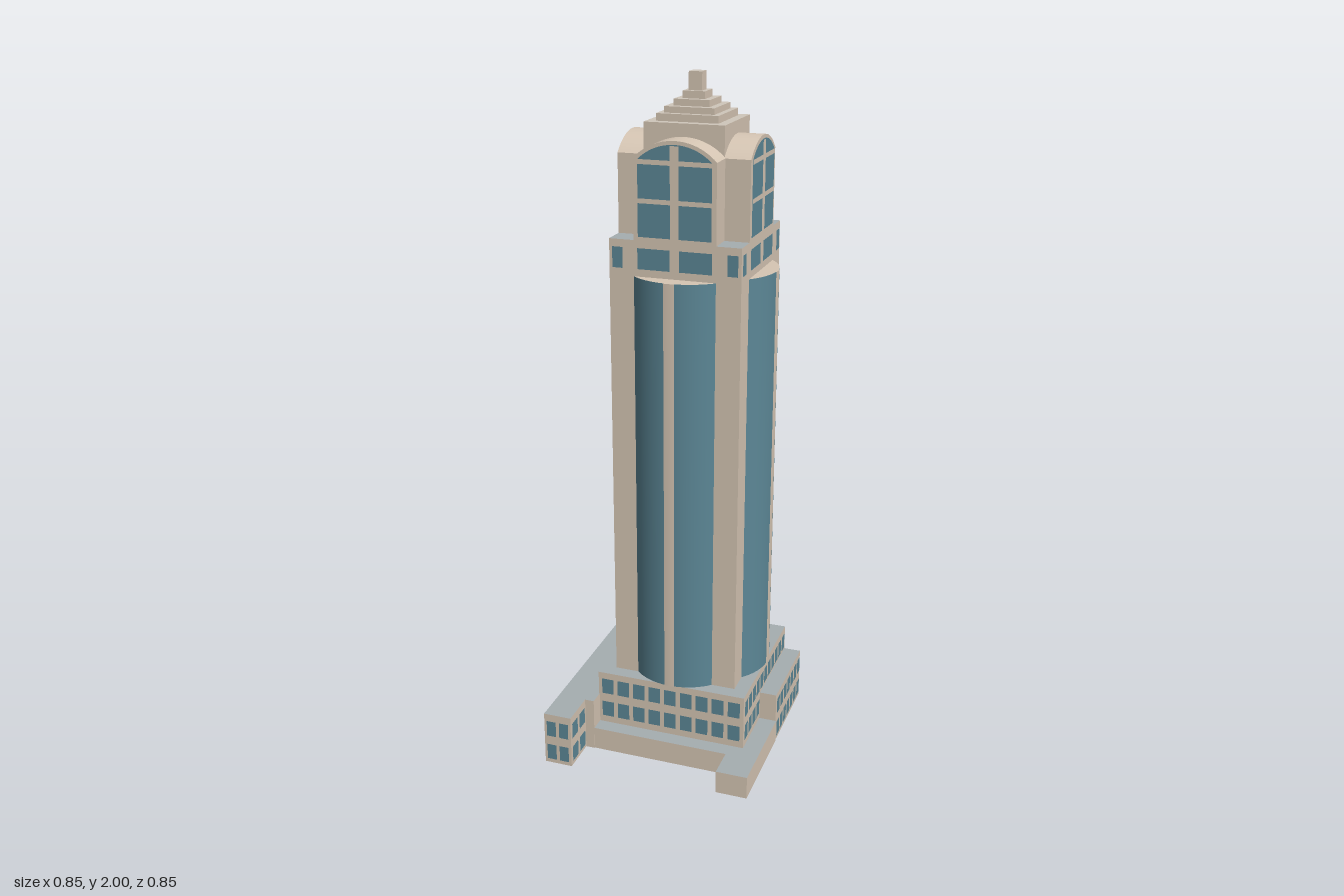
import * as THREE from 'three';
import { mergeGeometries } from 'three/addons/utils/BufferGeometryUtils.js';

const mat = (color, side = THREE.FrontSide) => new THREE.MeshStandardMaterial({ color, side });
const stone = mat(0xd6c6b4);
const glass = mat(0x5c8796);
const roof = mat(0xa6aeb1);
const cap = mat(0xd0c7bb);
const dark = mat(0x565c5e);

const HALF = 0.188; // half width of the shaft
const CORE = 0.114; // half width of the crown core
const BAY = 0.117; // half width of bays and vaults

function add(parent, name, geometry, material) {
  const mesh = new THREE.Mesh(geometry, material);
  mesh.name = name;
  parent.add(mesh);
  return mesh;
}

// Box given by its limits, with its own roof and underside colours
function block(parent, name, x0, x1, y0, y1, z0, z1, top = roof, bottom = stone) {
  const g = new THREE.BoxGeometry(x1 - x0, y1 - y0, z1 - z0);
  g.translate((x0 + x1) / 2, (y0 + y1) / 2, (z0 + z1) / 2);
  return add(parent, name, g, [stone, stone, top, bottom, stone, stone]);
}

// Panes [x, y, w, h] on a wall turned by angle about y, at a distance from the axis
function panes(parent, name, angle, dist, list, material = glass, lift = 0.0015) {
  const parts = list.map(([x, y, w, h]) => new THREE.PlaneGeometry(w, h).translate(x, y, dist + lift));
  return add(parent, name, mergeGeometries(parts).rotateY(angle), material);
}

// Regular rows and columns of panes between x0 and x1
function windowGrid(parent, name, angle, dist, x0, x1, cols, rows) {
  const list = [];
  const step = (x1 - x0) / cols;
  for (const y of rows)
    for (let i = 0; i < cols; i++) list.push([x0 + step * (i + 0.5), y, step * 0.74, 0.05]);
  panes(parent, name, angle, dist, list);
}

// Upright outline with a segmental arch on top
function archShape(w, bottom, spring, crown) {
  const rise = crown - spring;
  const r = (w * w + rise * rise) / (2 * rise);
  const a = Math.asin(w / r);
  const s = new THREE.Shape();
  s.moveTo(-w, bottom);
  s.lineTo(w, bottom);
  s.lineTo(w, spring);
  s.absarc(0, crown - r, r, Math.PI / 2 - a, Math.PI / 2 + a, false);
  s.closePath();
  return s;
}

function buildPodium(parent) {
  const g = new THREE.Group();
  g.name = 'podium';
  parent.add(g);
  const R = Math.PI / 2;

  block(g, 'podiumBlock', -0.23, 0.23, 0, 0.24, -0.23, 0.23, roof, dark);
  block(g, 'frontWing', -0.056, 0.231, 0, 0.16, 0.22, 0.282, roof, dark);
  block(g, 'backWing', -0.39, 0.231, 0, 0.165, -0.341, -0.256, roof, dark);
  block(g, 'backWingInner', -0.278, 0.231, 0, 0.165, -0.256, -0.228, roof, dark);
  block(g, 'frontTerrace', -0.37, -0.056, 0, 0.07, 0.19, 0.284);
  block(g, 'sideTerrace', -0.276, -0.225, 0, 0.07, -0.23, 0.192);

  const low = [0.038, 0.117];
  // Podium block
  windowGrid(g, 'podiumFrontTopWindows', 0, 0.23, -0.225, 0.225, 11, [0.195]);
  windowGrid(g, 'podiumFrontLowWindows', 0, 0.23, -0.225, -0.06, 4, [0.117]);
  windowGrid(g, 'podiumLeftWindows', R, 0.23, -0.225, 0.225, 9, [0.038, 0.117, 0.195]);
  windowGrid(g, 'podiumRightWindows', -R, 0.23, -0.225, 0.225, 9, [0.117, 0.195]);
  windowGrid(g, 'podiumBackWindows', Math.PI, 0.23, -0.225, 0.225, 9, [0.2]);
  // Wings
  windowGrid(g, 'frontWingWindows', 0, 0.282, -0.053, 0.229, 7, low);
  windowGrid(g, 'frontWingSideWindows', R, 0.231, -0.28, -0.232, 1, low);
  windowGrid(g, 'backWingWindows', Math.PI, 0.341, -0.228, 0.387, 11, low);
  windowGrid(g, 'backWingLeftWindows', R, 0.231, 0.234, 0.338, 2, low);
  windowGrid(g, 'backWingRightWindows', -R, 0.39, -0.338, -0.259, 2, low);
  windowGrid(g, 'backWingInnerWindows', 0, -0.256, -0.388, -0.28, 2, low);
}

// One side of the shaft and crown, facing +z
function buildSide(name) {
  const g = new THREE.Group();
  g.name = name;

  // Bowed glass bay with a central pier
  const sag = 0.047;
  const r = (BAY * BAY + sag * sag) / (2 * sag);
  const a = Math.asin(BAY / r);
  const bow = (radius, half, segs, height) =>
    new THREE.CylinderGeometry(radius, radius, height, segs, 1, false, -half, 2 * half)
      .translate(0, 0.24 + height / 2, HALF + sag - r);
  add(g, 'bowedBay', bow(r, a, 20, 1.23), [glass, stone, stone]);
  add(g, 'bayPier', bow(r + 0.002, 0.09, 4, 1.23), stone);

  // Windows of the band above the bay
  panes(g, 'bandWindows', 0, HALF, [-1, 1].flatMap((s) => [
    [s * 0.06, 1.52, 0.092, 0.058],
    [s * 0.164, 1.52, 0.03, 0.058],
  ]));

  // Barrel vault with an arched window
  const vault = new THREE.ExtrudeGeometry(archShape(BAY, 1.57, 1.79, 1.84), {
    depth: HALF - CORE, bevelEnabled: false, curveSegments: 12,
  }).translate(0, 0, CORE);
  add(g, 'barrelVault', vault, stone);
  const pane = new THREE.ShapeGeometry(archShape(0.104, 1.58, 1.788, 1.83), 12);
  add(g, 'archedWindow', pane.translate(0, 0, HALF + 0.0015), glass);
  panes(g, 'windowBars', 0, HALF, [
    [0, 1.702, 0.024, 0.25],
    [0, 1.678, 0.21, 0.013],
    [0, 1.782, 0.21, 0.013],
  ], stone, 0.003);
  return g;
}

function buildTower(parent) {
  const g = new THREE.Group();
  g.name = 'tower';
  parent.add(g);
  block(g, 'shaft', -HALF, HALF, 0.24, 1.57, -HALF, HALF);
  ['front', 'left', 'back', 'right'].forEach((side, i) => {
    const s = buildSide(side + 'Side');
    s.rotation.y = (i * Math.PI) / 2;
    g.add(s);
  });

  // Crown core, stepped roof and spire
  block(g, 'crownCore', -CORE, CORE, 1.57, 1.875, -CORE, CORE, cap);
  const steps = [[0.088, 1.895], [0.071, 1.912], [0.051, 1.93], [0.032, 1.95], [0.019, 2]];
  let y = 1.875;
  steps.forEach(([h, top], i) => {
    block(g, i < 4 ? 'roofStep' + (i + 1) : 'spire', -h, h, y, top, -h, h, cap);
    y = top;
  });
}

export function createModel() {
  const model = new THREE.Group();
  model.name = 'skyscraper';
  const building = new THREE.Group();
  building.name = 'building';
  building.position.set(0.08, 0, -0.012);
  building.rotation.y = 0.547;
  model.add(building);
  buildPodium(building);
  buildTower(building);
  return model;
}
